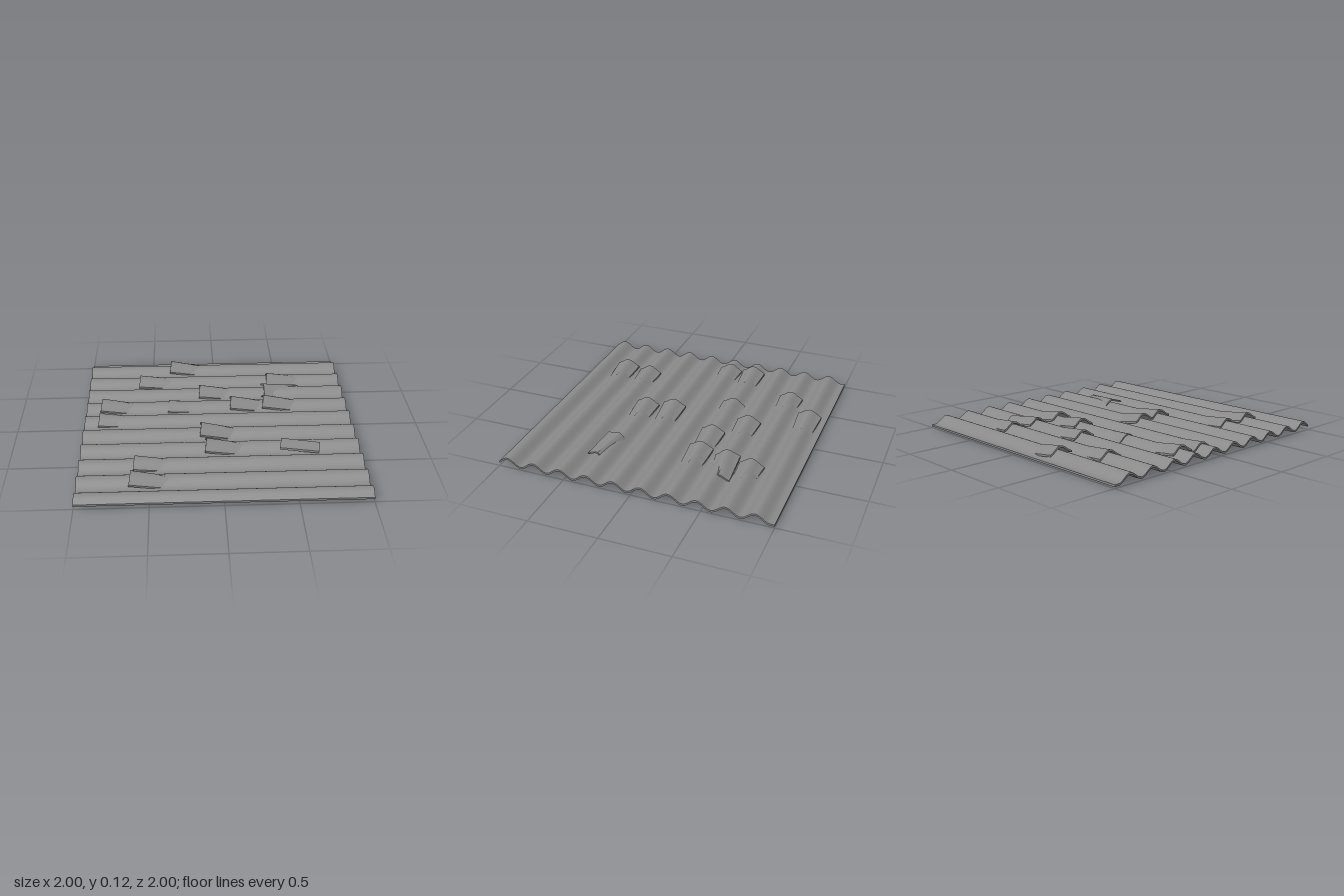
import * as THREE from 'three';
import { toCreasedNormals } from 'three/addons/utils/BufferGeometryUtils.js';

const PERIOD = 0.2;
const WAVE = 0.0255;
const THICK = 0.014;

// Ribbon with a wavy cross-section (z, y), extruded along +x from x = 0
function waveRibbon(z0, z1, steps, length, height) {
  const top = [], bottom = [];
  for (let i = 0; i <= steps; i++) {
    const z = z0 + (z1 - z0) * i / steps;
    const y = height(z);
    top.push(new THREE.Vector2(-z, y));
    bottom.unshift(new THREE.Vector2(-z, y - THICK));
  }
  const geometry = new THREE.ExtrudeGeometry(new THREE.Shape([...top, ...bottom]), {
    depth: length, bevelEnabled: false, steps: 1
  });
  geometry.rotateY(Math.PI / 2);
  return geometry;
}

export function createModel() {
  const model = new THREE.Group();
  model.name = 'tiledRoof';
  const grey = new THREE.MeshStandardMaterial({ color: 0x888888 });
  grey.name = 'tile grey';

  // Corrugated sheet: ridges run along x, flat lip at the back edge
  const firstRidge = 0.932;
  const backValley = firstRidge - 9.5 * PERIOD;
  const sheetGeometry = waveRibbon(-1, 1, 160, 2, z =>
    0.0595 + WAVE * Math.cos((Math.max(z, backValley) - firstRidge) * 2 * Math.PI / PERIOD));
  sheetGeometry.translate(-1, 0, 0);
  const sheet = new THREE.Mesh(toCreasedNormals(sheetGeometry, 0.6), grey);
  sheet.name = 'corrugatedSheet';
  model.add(sheet);

  // Loose cover tile: short arch, narrowing towards +x, crown at y = 0
  const length = 0.28;
  const tileGeometry = waveRibbon(-0.09, 0.09, 8, length, z =>
    WAVE * (Math.cos(z * 2 * Math.PI / PERIOD) - 1));
  const p = tileGeometry.attributes.position;
  for (let i = 0; i < p.count; i++) {
    p.setZ(i, p.getZ(i) * (1 - 0.22 * p.getX(i) / length));
  }
  const coverGeometry = toCreasedNormals(tileGeometry, 0.6);

  // Left end x, ridge z, raised crown height, yaw, roll
  const tiles = [
    [-0.35, -0.875, 0.124],
    [-0.60, -0.665, 0.106],
    [0.42, -0.665, 0.106],
    [-0.125, -0.47, 0.114],
    [0.38, -0.47, 0.112, 0.1, 0.1],
    [-0.88, -0.27, 0.12],
    [-0.37, -0.275, 0.094, -0.04, -0.06],
    [0.11, -0.27, 0.12],
    [0.36, -0.27, 0.125],
    [-0.89, -0.075, 0.104],
    [-0.13, 0.13, 0.13],
    [-0.10, 0.335, 0.12],
    [0.44, 0.325, 0.106, -0.15, -0.32],
    [-0.61, 0.53, 0.11],
    [-0.63, 0.735, 0.122]
  ];
  tiles.forEach(([x, z, crown, yaw = -0.035, roll = 0], i) => {
    const tile = new THREE.Mesh(coverGeometry, grey);
    tile.name = `looseTile${i + 1}`;
    tile.position.set(x, crown, z);
    tile.rotation.set(roll, yaw, -(crown - 0.078) / length);
    model.add(tile);
  });

  return model;
}
